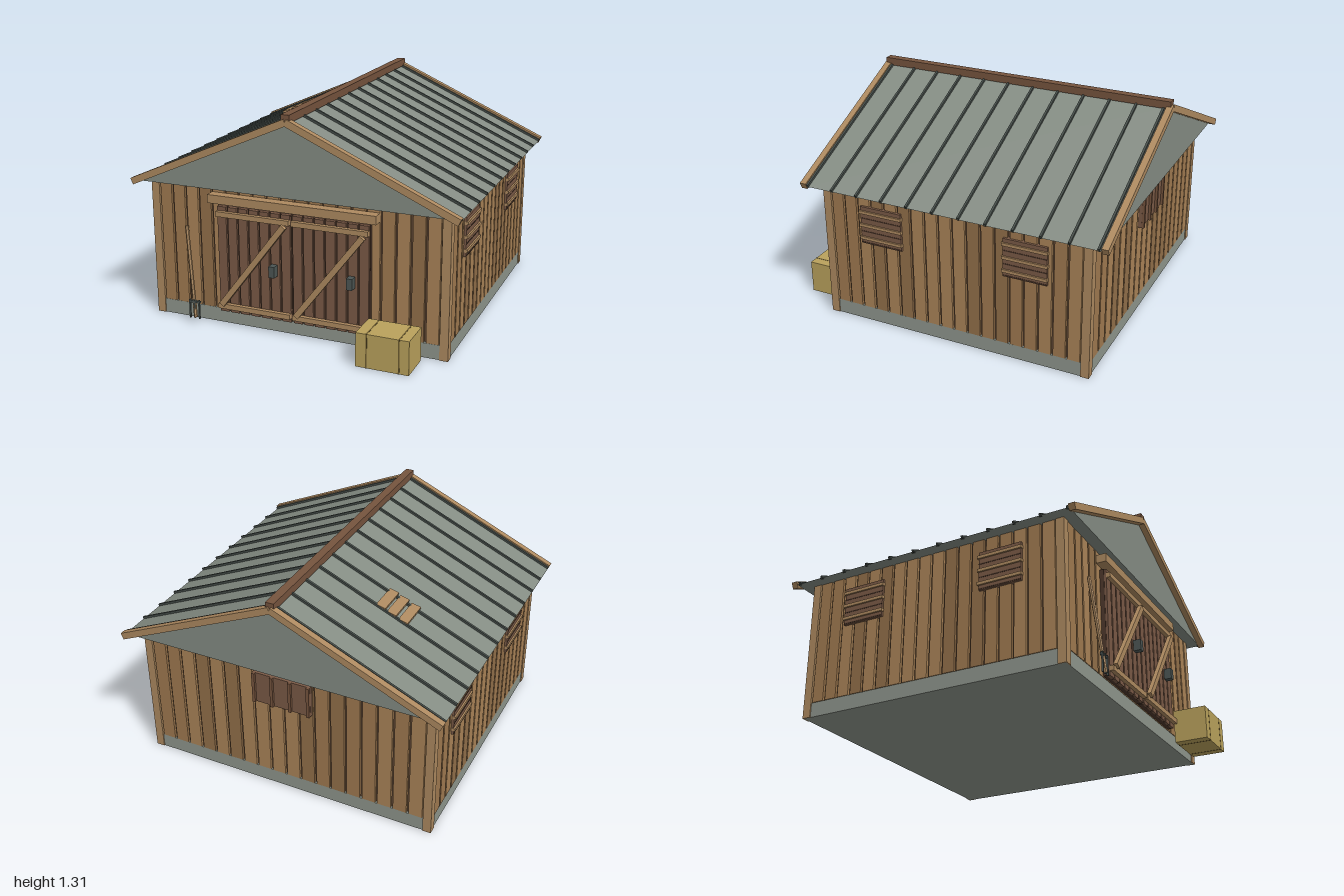
import * as THREE from 'three';

const mat = (color) => new THREE.MeshStandardMaterial({ color, flatShading: true });
const M = {
  tan: mat(0xae8a60), boardA: mat(0xa07a50), boardB: mat(0x93704a), boardC: mat(0xab8458),
  groove: mat(0x5a4230), door: mat(0x7a5a46), doorDark: mat(0x4e382b), ridge: mat(0x76543e),
  roof: mat(0x858d84), rib: mat(0x454d49), stone: mat(0x8f968d), iron: mat(0x4c5654),
  crate: mat(0xbaa25c), strap: mat(0x6d5c30),
};

function box(parent, name, material, w, h, d, x, y, z) {
  const mesh = new THREE.Mesh(new THREE.BoxGeometry(w, h, d), material);
  mesh.name = name;
  mesh.position.set(x, y, z);
  parent.add(mesh);
  return mesh;
}

function group(parent, name) {
  const g = new THREE.Group();
  g.name = name;
  parent.add(g);
  return g;
}

// Beam with its length along the line a-b in the xy plane
function beam(parent, name, material, ax, ay, bx, by, thick, depth, z) {
  const m = box(parent, name, material, Math.hypot(bx - ax, by - ay), thick, depth,
    (ax + bx) / 2, (ay + by) / 2, z);
  m.rotation.z = Math.atan2(by - ay, bx - ax);
  return m;
}

const X = 0.91, ZF = 0.76, ZB = -0.89, ZC = (ZF + ZB) / 2;
const EAVE_X = 0.98, EAVE_Y = 0.835, APEX = 1.27;
const ANGLE = Math.atan2(APEX - EAVE_Y, EAVE_X);

// Row of vertical planks, built facing +z and centred on x = 0
function plankWall(parent, name, length, count) {
  const g = group(parent, name);
  const tints = [M.boardA, M.boardC, M.boardB, M.boardA, M.boardB, M.boardC, M.boardC];
  const step = length / count;
  for (let i = 0; i < count; i++) {
    box(g, 'wallPlank', tints[(i * 3 + (i >> 2)) % 7], step - 0.014, 0.75, 0.02,
      -length / 2 + step * (i + 0.5), 0.4625, -0.014);
  }
  return g;
}

function addWalls(root) {
  box(root, 'foundation', M.stone, 2 * X - 0.012, 0.086, ZF - ZB - 0.012, 0, 0.043, ZC);
  box(root, 'wallCore', M.groove, 2 * X - 0.04, 0.75, ZF - ZB - 0.04, 0, 0.4625, ZC);
  plankWall(root, 'frontWall', 1.72, 20).position.z = ZF;
  const back = plankWall(root, 'backWall', 1.72, 18);
  back.position.z = ZB;
  back.rotation.y = Math.PI;
  for (const s of [1, -1]) {
    const side = plankWall(root, s > 0 ? 'leftWall' : 'rightWall', 1.55, 18);
    side.position.set(s * X, 0, ZC);
    side.rotation.y = s * Math.PI / 2;
    for (const z of [ZF - 0.025, ZB + 0.025])
      box(root, 'cornerPost', M.tan, 0.05, 0.838, 0.05, s * (X - 0.025), 0.419, z);
  }
}

function addRoof(root) {
  const roof = group(root, 'roof');
  // Solid gable prism
  const shape = new THREE.Shape([[-EAVE_X, EAVE_Y], [EAVE_X, EAVE_Y], [0, APEX]]
    .map(([x, y]) => new THREE.Vector2(x, y)));
  const prism = new THREE.Mesh(
    new THREE.ExtrudeGeometry(shape, { depth: 1.79, bevelEnabled: false }), M.roof);
  prism.name = 'roofBody';
  prism.position.z = -0.965;
  roof.add(prism);
  for (const s of [1, -1]) {
    // Standing seams
    for (let i = 0; i < 12; i++)
      beam(roof, 'roofSeam', M.rib, 0, APEX + 0.003, s * EAVE_X, EAVE_Y + 0.003, 0.02, 0.013, 0.815 - i * 0.16);
    // Gable trim boards
    for (const z of [0.841, -0.981])
      beam(roof, 'gableTrim', M.tan, 0, APEX, s * EAVE_X, EAVE_Y, 0.04, 0.038, z);
  }
  box(roof, 'ridgeBeam', M.ridge, 0.05, 0.045, 1.84, 0, 1.289, -0.068);
  // Loose patch boards on the right slope
  for (const x of [-0.53, -0.46, -0.395]) {
    const y = APEX + x * Math.tan(ANGLE) * -1 * -1 + 0.008;
    box(roof, 'patchBoard', M.tan, 0.058, 0.018, 0.19, x, y, -0.375).rotation.z = ANGLE * 0.6;
  }
}

function addDoors(root) {
  const doors = group(root, 'barnDoors');
  box(doors, 'doorHeader', M.tan, 1.02, 0.05, 0.06, 0, 0.775, 0.79);
  for (const s of [-1, 1]) {
    const leaf = group(doors, 'doorLeaf');
    leaf.position.x = s * 0.2345;
    box(leaf, 'doorBacking', M.doorDark, 0.46, 0.64, 0.025, 0, 0.41, 0.77);
    for (let i = 0; i < 7; i++)
      box(leaf, 'doorPlank', M.door, 0.055, 0.64, 0.02, -0.1995 + i * 0.0665, 0.41, 0.786);
    for (const y of [0.69, 0.13])
      box(leaf, 'doorRail', M.tan, 0.455, 0.03, 0.026, 0, y, 0.807);
    beam(leaf, 'doorBrace', M.tan, -0.2, 0.145, 0.2, 0.67, 0.034, 0.026, 0.822);
    box(leaf, 'doorHandle', M.iron, 0.036, 0.066, 0.045, 0.13, 0.397, 0.822);
  }
}

// Shutter built facing +z, with slats running across or upright
function shutter(parent, w, h, upright) {
  const g = group(parent, 'shutter');
  box(g, 'shutterPanel', M.door, w, h, 0.03, 0, 0, 0);
  if (upright) {
    for (let i = 0; i < 4; i++)
      box(g, 'shutterSlat', M.ridge, 0.018, h, 0.02, (i / 3 - 0.5) * (w - 0.02), 0, 0.02);
  } else {
    for (const y of [0.083, 0.002, -0.078])
      box(g, 'shutterSlat', M.tan, w + 0.01, 0.018, 0.022, 0, y, 0.014);
    for (const y of [0.043, -0.038, -0.108])
      box(g, 'shutterGap', M.doorDark, w, 0.006, 0.006, 0, y, 0.014);
  }
  return g;
}

function addShutters(root) {
  for (const s of [1, -1]) for (const z of [0.38, -0.51]) {
    const sh = shutter(root, 0.26, 0.23, false);
    sh.position.set(s * 0.905, 0.635, z);
    sh.rotation.y = s * Math.PI / 2;
  }
  const back = shutter(root, 0.36, 0.195, true);
  back.position.set(0, 0.677, ZB - 0.002);
  back.rotation.y = Math.PI;
}

function addCrate(root) {
  const crate = group(root, 'crate');
  crate.position.set(0.617, 0.1, 0.9);
  box(crate, 'crateBody', M.crate, 0.304, 0.198, 0.198, 0, 0, 0);
  for (const x of [-0.09, 0.095])
    box(crate, 'crateStrap', M.strap, 0.008, 0.2, 0.2, x, 0, 0);
}

// Pitchfork leaning on the front wall
function addFork(root) {
  const fork = group(root, 'pitchfork');
  const a = new THREE.Vector3(-0.672, 0.582, 0.785), b = new THREE.Vector3(-0.608, 0.04, 0.835);
  const dir = a.clone().sub(b);
  const handle = new THREE.Mesh(new THREE.CylinderGeometry(0.011, 0.011, dir.length(), 6), M.tan);
  handle.name = 'forkHandle';
  handle.position.copy(a).add(b).multiplyScalar(0.5);
  handle.quaternion.setFromUnitVectors(new THREE.Vector3(0, 1, 0), dir.normalize());
  fork.add(handle);
  box(fork, 'forkHead', M.iron, 0.07, 0.012, 0.014, -0.613, 0.135, 0.83);
  for (const x of [-0.643, -0.613, -0.583])
    box(fork, 'forkTine', M.iron, 0.008, 0.115, 0.01, x, 0.09, 0.835);
}

export function createModel() {
  const root = new THREE.Group();
  root.name = 'barn';
  addWalls(root);
  addRoof(root);
  addDoors(root);
  addShutters(root);
  addCrate(root);
  addFork(root);
  return root;
}
